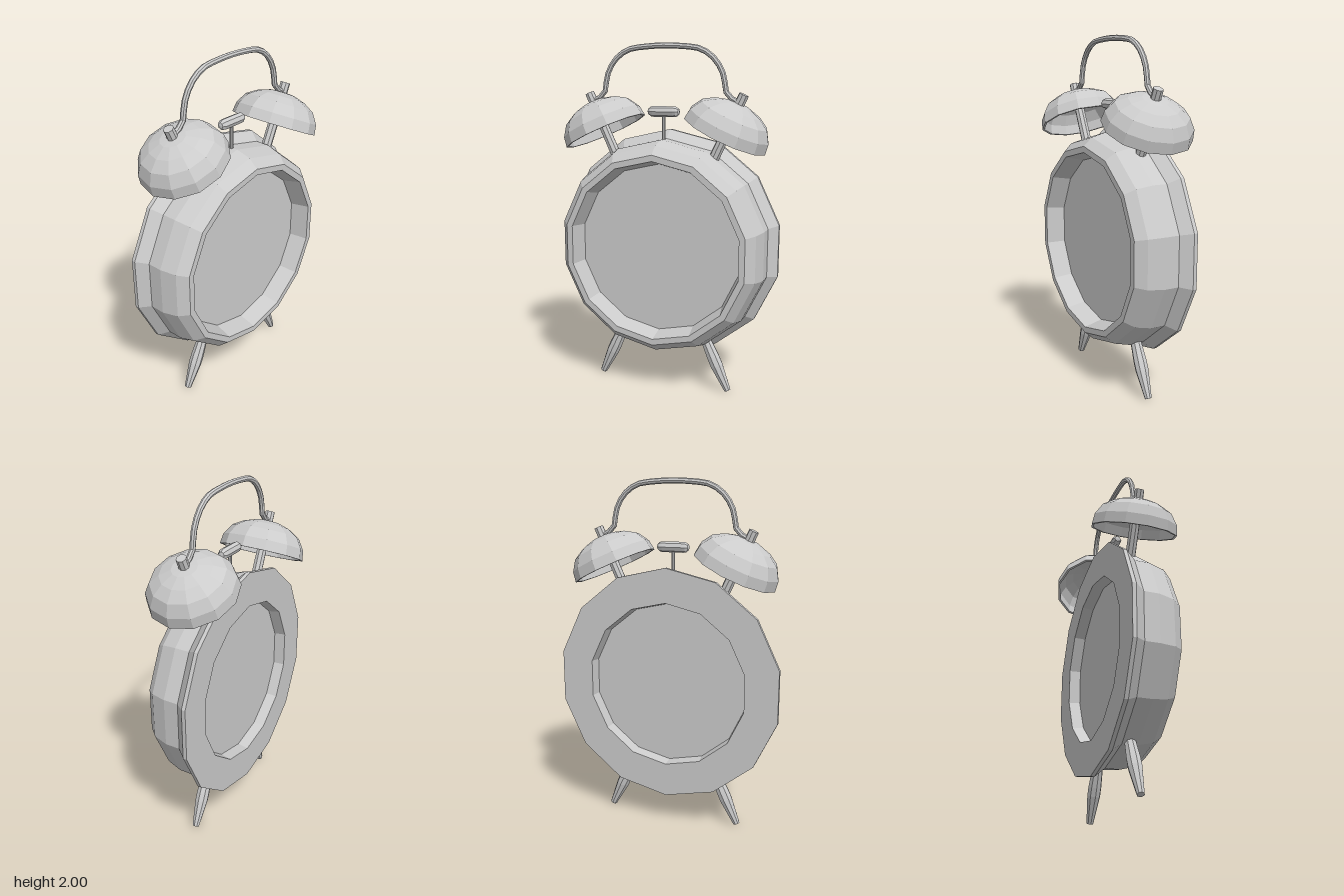
import * as THREE from 'three';

const material = new THREE.MeshStandardMaterial({ color: 0xcccccc, flatShading: true });

function part(name, geometry, parent) {
  const mesh = new THREE.Mesh(geometry, material);
  mesh.name = name;
  parent.add(mesh);
  return mesh;
}

// Lathe from [radius, height] pairs, listed counter-clockwise
function lathe(points, sides) {
  return new THREE.LatheGeometry(points.map(([r, y]) => new THREE.Vector2(r, y)), sides);
}

// Group whose local +y runs from the start along the given direction
function along(name, start, direction, parent) {
  const group = new THREE.Group();
  group.name = name;
  group.position.copy(start);
  group.quaternion.setFromUnitVectors(new THREE.Vector3(0, 1, 0), direction.clone().normalize());
  parent.add(group);
  return group;
}

export function createModel() {
  const clock = new THREE.Group();
  clock.name = 'alarmClock';

  // Case with back flange, front bezel, and recessed front and back
  const body = part('case', lathe([
    [0, -0.06], [0.465, -0.06], [0.475, -0.125], [0.67, -0.125], [0.67, -0.103],
    [0.62, -0.045], [0.62, 0.04], [0.595, 0.13], [0.548, 0.183], [0.513, 0.183],
    [0.487, 0.075], [0, 0.075],
  ], 14), clock);
  body.rotation.x = Math.PI / 2;
  body.position.y = 0.85;

  for (const side of [1, -1]) {
    const label = side > 0 ? 'left' : 'right';

    // Splayed tapered leg, measured up from the foot
    const leg = along(label + 'LegGroup', new THREE.Vector3(side * 0.402, 0.012, 0),
      new THREE.Vector3(-side * 0.14, 0.3, 0), clock);
    part(label + 'Leg', lathe([
      [0, 0], [0.02, 0], [0.038, 0.16], [0.038, 0.21], [0.03, 0.34], [0, 0.34],
    ], 8), leg);

    // Tilted bell shell, open below, on its post
    const bell = along(label + 'BellGroup', new THREE.Vector3(side * 0.36, 1.505, 0),
      new THREE.Vector3(side * 0.423, 0.906, 0), clock);
    part(label + 'Bell', lathe([
      [0, 0.17], [0.068, 0.165], [0.13, 0.145], [0.187, 0.11], [0.226, 0.055], [0.235, 0],
      [0.248, 0], [0.239, 0.06], [0.2, 0.121], [0.139, 0.158], [0.07, 0.18], [0, 0.186],
    ], 12), bell);
    const post = part(label + 'BellPost', new THREE.CylinderGeometry(0.028, 0.03, 0.4, 8), bell);
    post.position.y = 0.04;
  }

  // Carrying handle arched between the bell posts
  const half = [[0.44, 1.675], [0.4, 1.695], [0.362, 1.735], [0.35, 1.81], [0.325, 1.87],
    [0.28, 1.925], [0.21, 1.966], [0.11, 1.98]];
  const arch = [
    ...half.map(([x, y]) => new THREE.Vector3(-x, y, 0)),
    new THREE.Vector3(0, 1.985, 0),
    ...half.map(([x, y]) => new THREE.Vector3(x, y, 0)).reverse(),
  ];
  part('handle', new THREE.TubeGeometry(new THREE.CatmullRomCurve3(arch), 24, 0.016, 8), clock);

  // Hammer between the bells
  const stem = part('hammerStem', new THREE.CylinderGeometry(0.011, 0.011, 0.2, 8), clock);
  stem.position.y = 1.52;
  const head = part('hammerHead', lathe([
    [0, -0.094], [0.018, -0.09], [0.028, -0.076], [0.03, -0.06],
    [0.03, 0.06], [0.028, 0.076], [0.018, 0.09], [0, 0.094],
  ], 8), clock);
  head.rotation.z = Math.PI / 2;
  head.position.y = 1.624;

  return clock;
}
